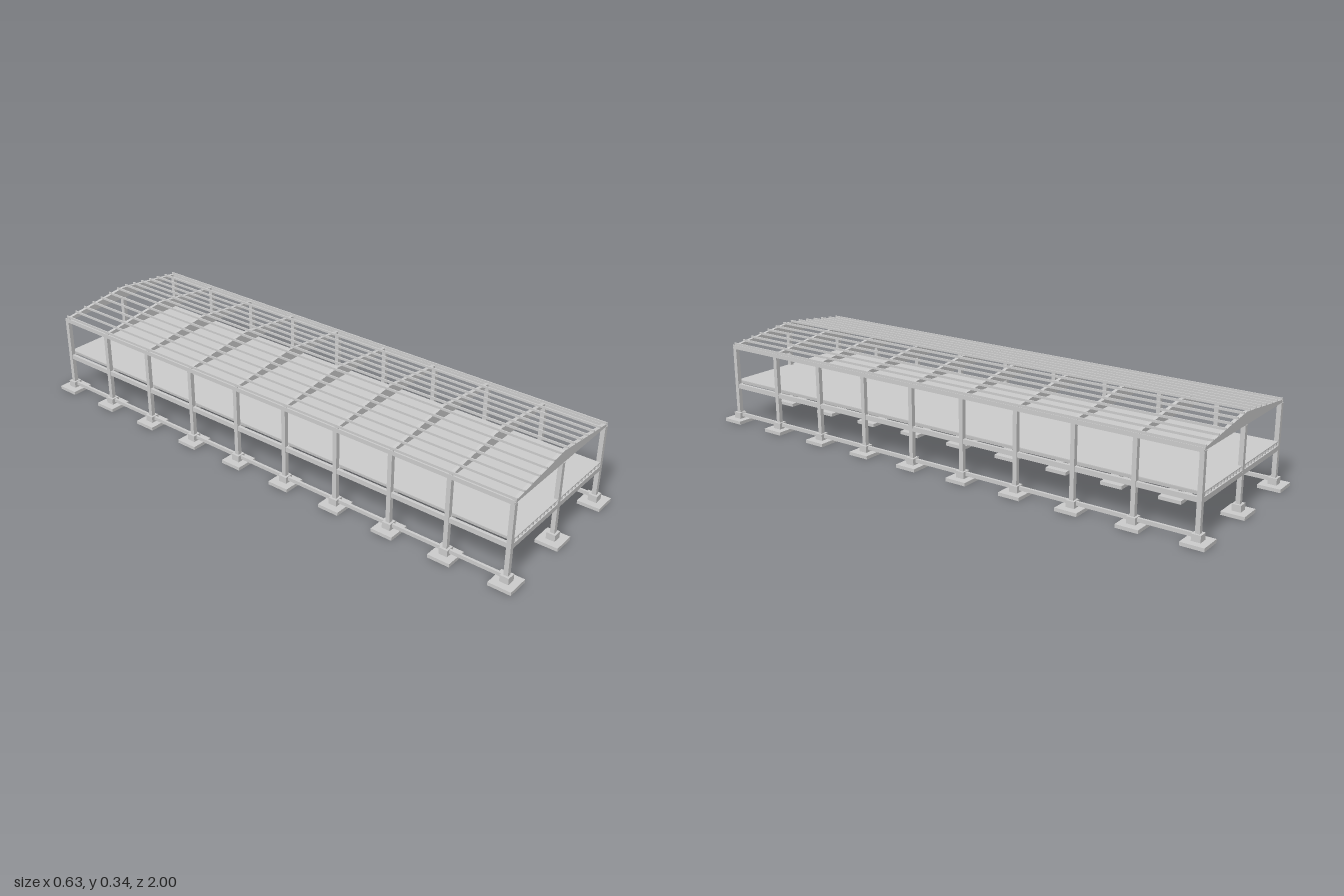
import * as THREE from 'three';

export function createModel() {
  const model = new THREE.Group();
  const mat = new THREE.MeshStandardMaterial({ color: 0xcccccc, flatShading: true });

  const FRAMES = 10, END_Z = 0.96, COL_X = 0.276, COL = 0.0155;
  const BAY = 2 * END_Z / (FRAMES - 1);
  const roofY = x => 0.331 - 0.033 * Math.abs(x) / 0.275;

  function add(name, geometry, x, y, z, parent = model) {
    const mesh = new THREE.Mesh(geometry, mat);
    mesh.name = name;
    mesh.position.set(x, y, z);
    parent.add(mesh);
    return mesh;
  }
  // Box given by its centre in x and z, and its bottom and top
  function block(name, x, z, y0, y1, w, d, parent) {
    return add(name, new THREE.BoxGeometry(w, y1 - y0, d), x, (y0 + y1) / 2, z, parent);
  }
  // Outline in x and y extruded along z, centred on z
  function prism(points, depth) {
    const shape = new THREE.Shape(points.map(([x, y]) => new THREE.Vector2(x, y)));
    return new THREE.ExtrudeGeometry(shape, { depth, bevelEnabled: false }).translate(0, 0, -depth / 2);
  }

  // Tapered gable rafter
  const rafterGeo = prism([
    [-0.276, 0.289], [0.276, 0.289], [0.276, roofY(0.276)], [0, 0.331], [-0.276, roofY(0.276)],
  ], 0.012);

  // Frames: footings, columns, floor beam and rafter
  for (let i = 0; i < FRAMES; i++) {
    const z = -END_Z + i * BAY;
    const isEnd = i === 0 || i === FRAMES - 1;
    const frame = new THREE.Group();
    frame.name = 'frame';
    model.add(frame);
    for (const x of [-COL_X, 0, COL_X]) {
      block('footing', x, z, 0, 0.012, 0.081, 0.08, frame);
      block('pedestal', x, z, 0.012, 0.035, 0.031, 0.031, frame);
      // Inner middle columns carry only the floor
      const top = x !== 0 || isEnd ? 0.289 : 0.145;
      block('column', x, z, 0.035, top, COL, COL, frame);
    }
    block('floorBeam', 0, z, 0.128, 0.145, 2 * COL_X - COL, 0.015, frame);
    add('rafter', rafterGeo, 0, 0, z, frame);
  }

  // Floor slab on tapered joists
  block('floorSlab', 0, 0, 0.157, 0.16, 2 * COL_X - COL, 2 * END_Z + 0.012);
  const joistGeo = prism([
    [-0.0017, 0.145], [0.0017, 0.145], [0.0032, 0.157], [-0.0032, 0.157],
  ], 2 * END_Z + 0.01);
  for (let i = 0; i < 12; i++) {
    for (const s of [-1, 1]) add('floorJoist', joistGeo, s * (0.022 + i * 0.0216), 0, 0);
  }

  // Eave channel with a web and two flanges
  const gutterGeo = prism([
    [-0.0085, 0.284], [-0.0068, 0.284], [-0.0068, 0.289], [0.0068, 0.289], [0.0068, 0.284], [0.0085, 0.284],
    [0.0085, 0.299], [0.0068, 0.299], [0.0068, 0.2915], [-0.0068, 0.2915], [-0.0068, 0.299], [-0.0085, 0.299],
  ], 2 * END_Z + 0.012);

  // Long members on both sides
  for (const s of [-1, 1]) {
    const x = s * COL_X;
    block('groundBeam', x, 0, 0.02, 0.033, 0.009, 2 * END_Z);
    block('edgeBeam', x, 0, 0.13, 0.147, 0.011, 2 * END_Z);
    add('eaveGutter', gutterGeo, x, 0, 0);
  }

  // Roof purlins resting on the rafters
  for (let i = 0; i < 7; i++) {
    const x = 0.0205 + i * 0.0423;
    const y = roofY(x);
    for (const s of [-1, 1]) block('purlin', s * x, 0, y - 0.001, y + 0.007, 0.004, 2 * END_Z + 0.014);
  }

  return model;
}
